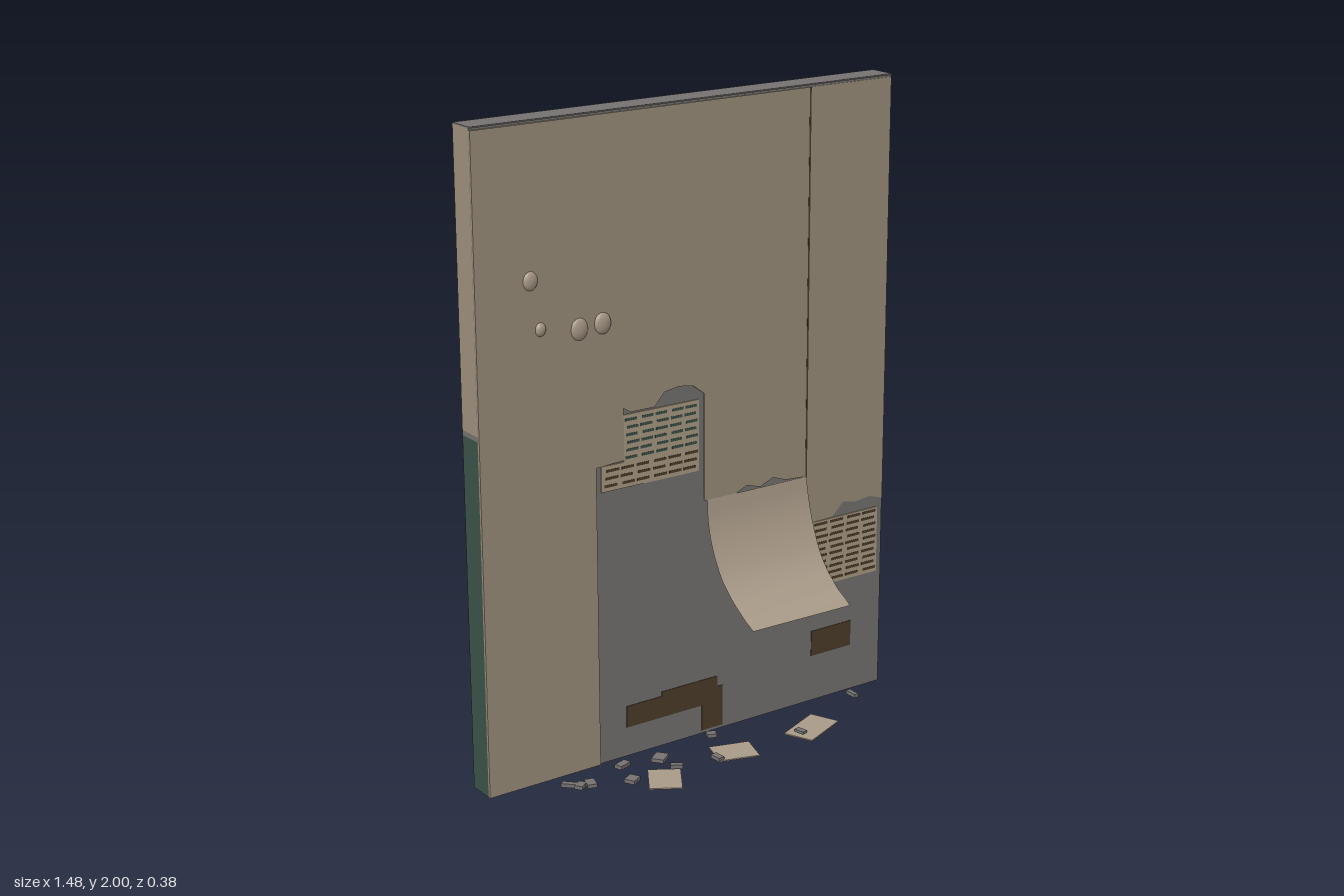
import * as THREE from 'three';

const paint = (name, color) => {
  const m = new THREE.MeshStandardMaterial({ color });
  m.name = name;
  return m;
};

export function createModel() {
  const root = new THREE.Group();
  root.name = 'peelingWall';
  const paper = paint('wallpaper beige', 0x9c8f7a);
  const curlPaper = paint('curled paper beige', 0xa99a88);
  curlPaper.side = THREE.DoubleSide;
  const plaster = paint('plaster grey', 0x757270);
  const green = paint('wainscot green', 0x3a5248);
  const brown = paint('exposed brown', 0x4c3c2a);
  const lath = paint('lath tan', 0xaa9c83);

  const add = (parent, name, geo, mat, x = 0, y = 0, z = 0) => {
    const m = new THREE.Mesh(geo, mat);
    m.name = name;
    m.position.set(x, y, z);
    parent.add(m);
    return m;
  };
  // Box given by its two corners
  const slab = (parent, name, mat, x0, x1, y0, y1, z0, z1) =>
    add(parent, name, new THREE.BoxGeometry(x1 - x0, y1 - y0, z1 - z0), mat,
      (x0 + x1) / 2, (y0 + y1) / 2, (z0 + z1) / 2);
  // Flat plate with an outline in x and y
  const plate = (parent, name, mat, pts, z0, z1) => {
    const shape = new THREE.Shape(pts.map(p => new THREE.Vector2(p[0], p[1])));
    return add(parent, name, new THREE.ExtrudeGeometry(shape, { depth: z1 - z0, bevelEnabled: false }), mat, 0, 0, z0);
  };

  // Wall body: painted lower half, grey joint, papered upper half, grey cap
  const W = 0.74, B = -0.19, F = -0.106;
  slab(root, 'lowerWall', green, -W, W, 0, 1.103, B, F);
  slab(root, 'wallJoint', plaster, -W, W, 1.103, 1.118, B, F);
  slab(root, 'upperWall', paper, -W, W, 1.118, 1.996, B, F);
  slab(root, 'topCap', plaster, -W, W, 1.996, 2, B, -0.1);
  slab(root, 'frontPlaster', plaster, -W, W, 0, 1.996, F, -0.104);

  // Torn wallpaper strips on the front, each lapping over the next
  plate(root, 'leftPaperStrip', paper,
    [[-W, 0], [-0.35, 0], [-0.35, 1.99], [-W, 1.99]], -0.104, -0.097);
  plate(root, 'middlePaperStrip', paper, [
    [-0.35, 0.95], [-0.25, 0.955], [-0.25, 1.115], [-0.225, 1.1], [-0.14, 1.1], [-0.105, 1.14],
    [-0.05, 1.148], [0, 1.14], [0.04, 1.11], [0.04, 0.77], [0.16, 0.77], [0.2, 0.787],
    [0.25, 0.772], [0.3, 0.792], [0.35, 0.775], [0.43, 0.77], [0.43, 1.99], [-0.35, 1.99],
  ], -0.104, -0.1);
  plate(root, 'rightPaperStrip', paper, [
    [0.43, 0.63], [0.46, 0.61], [0.54, 0.615], [0.58, 0.655], [0.63, 0.645], [0.69, 0.652],
    [W, 0.635], [W, 1.99], [0.43, 1.99],
  ], -0.104, -0.102);
  slab(root, 'rightSeam', brown, 0.426, 0.432, 0.64, 1.99, -0.104, -0.0995);

  // Exposed lath: tan panels crossed by rows of dark slots
  const slots = (group, mat, x0, x1, cols, y0, y1, rows) => {
    const pitch = (x1 - x0) / cols, step = (y1 - y0) / rows;
    for (let c = 0; c < cols; c++) for (let r = 0; r < rows; r++) {
      const x = x0 + c * pitch + ((r * 7 + c * 3) % 5) * 0.002;
      const y = y0 + (r + 0.5) * step;
      slab(group, 'lathSlot', mat, x, x + pitch * 0.78, y - 0.004, y + 0.004, -0.101, -0.0995);
    }
  };
  const upper = new THREE.Group();
  upper.name = 'upperLath';
  plate(upper, 'lathPanel', lath, [
    [-0.33, 0.87], [0.02, 0.87], [0.02, 1.095], [-0.25, 1.095], [-0.25, 0.95], [-0.33, 0.95],
  ], -0.104, -0.1005);
  slots(upper, green, -0.245, 0.02, 5, 0.95, 1.09, 6);
  slots(upper, brown, -0.32, 0.02, 6, 0.875, 0.945, 3);
  const lower = new THREE.Group();
  lower.name = 'lowerLath';
  slab(lower, 'lathPanel', lath, 0.45, 0.72, 0.39, 0.61, -0.104, -0.1005);
  slots(lower, brown, 0.46, 0.722, 4, 0.395, 0.61, 10);
  root.add(upper, lower);

  // Deep brown patches low on the plaster
  plate(root, 'brownPatch', brown, [
    [-0.25, 0.095], [0.03, 0.095], [0.03, 0.01], [0.11, 0.01], [0.11, 0.145], [0.09, 0.145],
    [0.09, 0.18], [-0.12, 0.18], [-0.12, 0.165], [-0.25, 0.165],
  ], -0.104, -0.102);
  slab(root, 'smallBrownPatch', brown, 0.46, 0.62, 0.155, 0.24, -0.104, -0.102);

  // Sheet of paper peeling outward in a long curve
  const path = new THREE.CatmullRomCurve3([
    [0.77, -0.1], [0.7, -0.09], [0.62, -0.066], [0.53, -0.018], [0.465, 0.05], [0.415, 0.132],
  ].map(([y, z]) => new THREE.Vector3(0, y, z)));
  const curl = new THREE.PlaneGeometry(0.38, 1, 12, 24);
  const pos = curl.attributes.position, uv = curl.attributes.uv;
  for (let i = 0; i < pos.count; i++) {
    const t = 1 - uv.getY(i), p = path.getPoint(t);
    const ripple = 0.003 * Math.sin(t * 40 + uv.getX(i) * 2) * Math.max(0, t - 0.5);
    pos.setXYZ(i, 0.24 + pos.getX(i) * (1 + 0.02 * Math.sin(t * 5)), p.y + ripple, p.z);
  }
  curl.computeVertexNormals();
  add(root, 'peelingSheet', curl, curlPaper);

  // Blisters in the paper
  for (const [x, y, r] of [[-0.56, 1.545, 0.026], [-0.53, 1.4, 0.019], [-0.4, 1.38, 0.031], [-0.32, 1.385, 0.03]])
    add(root, 'paperBlister', new THREE.SphereGeometry(1, 20, 12), curlPaper, x, y, -0.098).scale.set(r * 0.92, r * 1.08, 0.012);

  // Flaked spots on the back
  const back = (name, pts) => plate(root, name, plaster, pts, B - 0.001, B);
  back('backFlake', [[-0.235, 1.62], [-0.205, 1.61], [-0.197, 1.66], [-0.2, 1.76], [-0.222, 1.76], [-0.228, 1.69]]);
  back('backChip', [[-0.045, 1.51], [-0.033, 1.515], [-0.035, 1.54], [-0.046, 1.535]]);
  back('jointChip', [[0.3, 1.115], [0.37, 1.115], [0.35, 1.128], [0.32, 1.13]]);

  // Fallen plaster crumbs: x, z, width, depth, turn
  for (const [x, z, w, d, a] of [
    [-0.51, -0.025, 0.045, 0.018, -0.8], [-0.485, 0, 0.035, 0.025, 0.6], [-0.453, 0.005, 0.03, 0.042, -0.3],
    [-0.337, 0.055, 0.04, 0.035, 0.5], [-0.305, -0.045, 0.045, 0.026, 0.3], [-0.185, -0.02, 0.05, 0.04, 0.65],
    [-0.175, 0.055, 0.038, 0.02, -0.6], [-0.04, 0.08, 0.022, 0.04, 0.05], [0.04, -0.065, 0.03, 0.026, -0.4],
    [0.28, 0.08, 0.02, 0.035, 0.2], [0.592, -0.052, 0.016, 0.044, 0],
  ])
    add(root, 'plasterCrumb', new THREE.BoxGeometry(w, 0.012, d), plaster, x, 0.008, z).rotation.y = a;

  // Fallen scraps of paper
  for (const [x, z, w, d, a] of [
    [-0.252, 0.104, 0.1, 0.13, -0.56], [0.03, 0.07, 0.13, 0.105, -0.3], [0.33, 0.07, 0.17, 0.1, 0.4],
  ])
    add(root, 'paperScrap', new THREE.BoxGeometry(w, 0.004, d), curlPaper, x, 0.004, z).rotation.y = a;

  return root;
}
